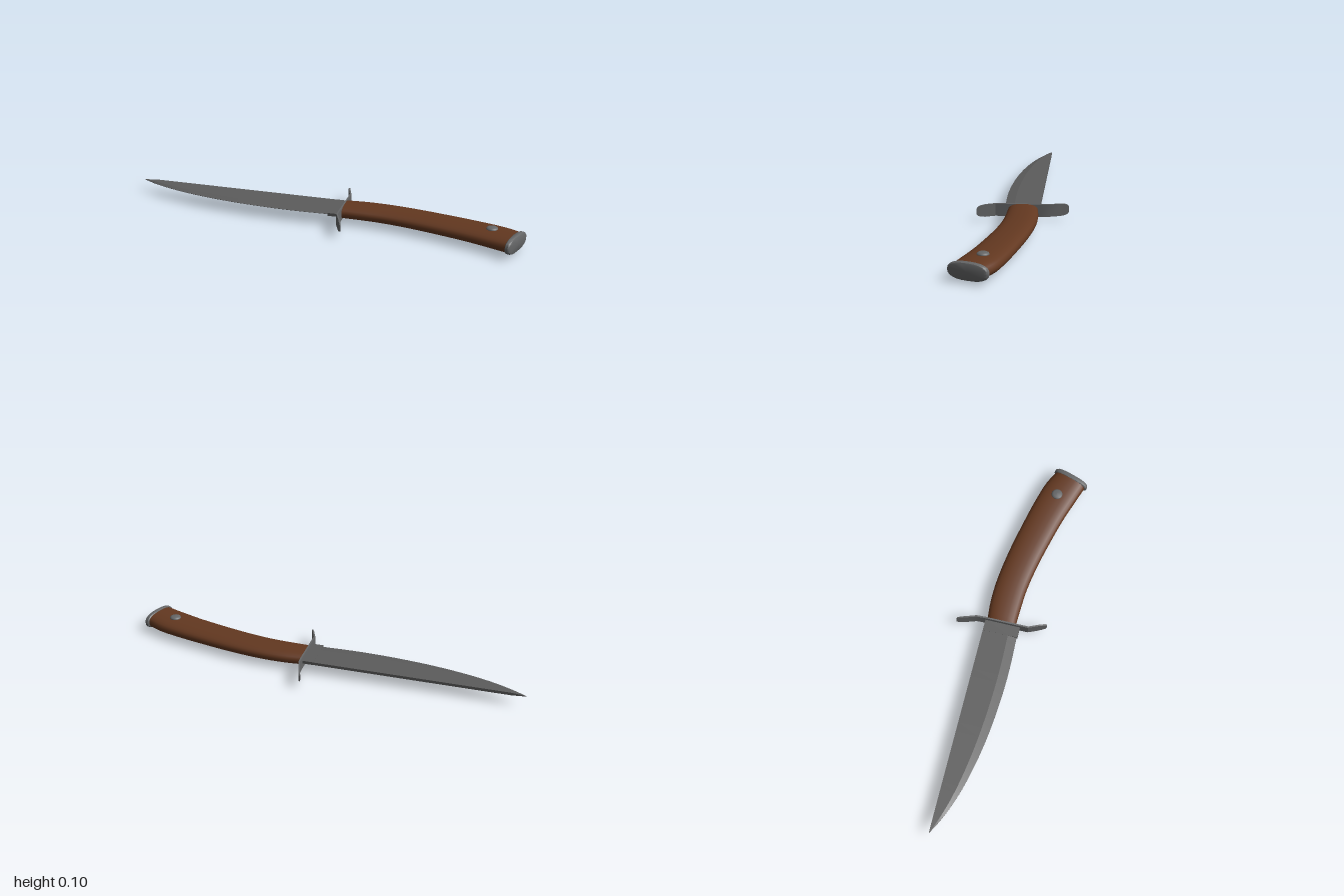
import * as THREE from 'three';
import { toCreasedNormals } from 'three/addons/utils/BufferGeometryUtils.js';

const MID = 0.052; // height of the knife's middle plane

// Skin a row of equal-length rings of [x, y, z], close both ends, face outward
function loft(rings, crease) {
  const n = rings[0].length, pos = rings.flat(2), idx = [];
  for (let i = 0; i < rings.length - 1; i++) {
    for (let j = 0; j < n; j++) {
      const a = i * n + j, b = i * n + (j + 1) % n;
      idx.push(a, b, a + n, b, b + n, a + n);
    }
  }
  [0, rings.length - 1].forEach((r, end) => {
    const c = pos.length / 3;
    for (let k = 0; k < 3; k++) pos.push(rings[r].reduce((s, p) => s + p[k], 0) / n);
    for (let j = 0; j < n; j++) {
      const a = r * n + j, b = r * n + (j + 1) % n;
      if (end) idx.push(a, b, c); else idx.push(b, a, c);
    }
  });
  const at = (i) => new THREE.Vector3().fromArray(pos, i * 3);
  let volume = 0;
  for (let i = 0; i < idx.length; i += 3) {
    volume += at(idx[i]).dot(at(idx[i + 1]).cross(at(idx[i + 2])));
  }
  if (volume < 0) idx.reverse();
  const g = new THREE.BufferGeometry();
  g.setAttribute('position', new THREE.Float32BufferAttribute(pos, 3));
  g.setIndex(idx);
  return toCreasedNormals(g, crease);
}

// Rounded section between a back point and a belly point in plan
function oval(x0, z0, x1, z1, half, power = 0.8, sides = 24) {
  return Array.from({ length: sides }, (_, i) => {
    const a = (i / sides) * Math.PI * 2;
    const round = (v) => Math.sign(v) * Math.abs(v) ** power;
    const t = (1 - round(Math.cos(a))) / 2;
    return [x0 + (x1 - x0) * t, MID + half * round(Math.sin(a)), z0 + (z1 - z0) * t];
  });
}

const spline = (points) => new THREE.CatmullRomCurve3(points.map(([x, z]) => new THREE.Vector3(x, 0, z)));

export function createModel() {
  const model = new THREE.Group();
  const blade = new THREE.MeshStandardMaterial({ name: 'blade steel', color: 0x5c5c5c });
  const steel = new THREE.MeshStandardMaterial({ name: 'fitting steel', color: 0x666768 });
  const wood = new THREE.MeshStandardMaterial({ name: 'brown wood', color: 0x633820 });
  const add = (name, geometry, material) => {
    const mesh = new THREE.Mesh(geometry, material);
    mesh.name = name;
    model.add(mesh);
    return mesh;
  };

  // Blade: straight spine, curved edge, a bevel on each side
  const bladeY = 0.056;
  const section = (x, ridge, edge, thick, edgeThick) => [
    [x, bladeY + thick, -0.1], [x, bladeY + thick, ridge], [x, bladeY + edgeThick, edge],
    [x, bladeY - edgeThick, edge], [x, bladeY - thick, ridge], [x, bladeY - thick, -0.1],
  ];
  const belly = spline([[-1, -0.099], [-0.93, -0.062], [-0.82, -0.018], [-0.68, 0.02],
    [-0.5, 0.052], [-0.3, 0.071], [-0.13, 0.076], [0.035, 0.071]]);
  const rings = belly.getPoints(28).map(({ x, z }, i) => {
    const depth = z + 0.1;
    return section(x, -0.1 + depth * 0.74, z, 0.007 * Math.min(1, 0.2 + i / 5), 0.0006);
  });
  add('blade', loft(rings, 0.12), blade);
  add('bladeBase', loft([0.034, 0.094].map((x) => section(x, 0.03, 0.075, 0.0075, 0.0075)), 0.3), blade);

  // Guard: thin strip across the blade, its rounded tips bent opposite ways
  const guardStations = [
    [0.06, -0.24, 0.013], [0.0615, -0.235, 0.021], [0.065, -0.224, 0.027], [0.072, -0.2, 0.031],
    [0.091, -0.145, 0.031], [0.093, -0.1, 0.031], [0.093, 0.115, 0.031],
    [0.114, 0.163, 0.031], [0.124, 0.185, 0.027], [0.129, 0.197, 0.021], [0.131, 0.202, 0.013],
  ];
  add('guard', loft(guardStations.map(([x, z, w]) => [
    [x - 0.004, MID - w, z], [x + 0.004, MID - w, z], [x + 0.004, MID + w, z], [x - 0.004, MID + w, z],
  ]), 0.4), steel);

  // Handle: rounded grip curving down toward the pommel
  const back = spline([[0.097, -0.092], [0.2, -0.1], [0.32, -0.096], [0.48, -0.075],
    [0.65, -0.042], [0.8, -0.008], [0.9, 0.022], [0.975, 0.06]]);
  const front = spline([[0.097, 0.052], [0.19, 0.055], [0.3, 0.062], [0.44, 0.085],
    [0.58, 0.117], [0.71, 0.151], [0.83, 0.19], [0.925, 0.222]]);
  const steps = 28;
  add('handle', loft(Array.from({ length: steps + 1 }, (_, i) => {
    const t = i / steps, a = back.getPoint(t), b = front.getPoint(t);
    return oval(a.x, a.z, b.x, b.z, 0.032 + 0.006 * t * t);
  }), 0.7), wood);

  // Pommel: tilted oval cap with softened rims
  const cap = [[-0.004, 0.94], [0, 1], [0.013, 1], [0.019, 0.94], [0.022, 0.8]];
  add('pommel', loft(cap.map(([out, scale]) => {
    const cx = 0.945 + out * 0.95, cz = 0.139 + out * 0.31;
    const dx = -0.03 * scale, dz = 0.09 * scale;
    return oval(cx - dx, cz - dz, cx + dx, cz + dz, 0.041 * scale);
  }), 0.6), steel);

  // Rivet: domed pin through both sides of the handle
  const profile = [[0, 0], [0.018, 0.001], [0.026, 0.005], [0.028, 0.01],
    [0.028, 0.088], [0.026, 0.093], [0.018, 0.097], [0, 0.098]];
  const rivet = add('rivet', new THREE.LatheGeometry(
    profile.map(([r, y]) => new THREE.Vector2(r, y)), 24), steel);
  rivet.position.set(0.835, 0, 0.092);

  return model;
}
